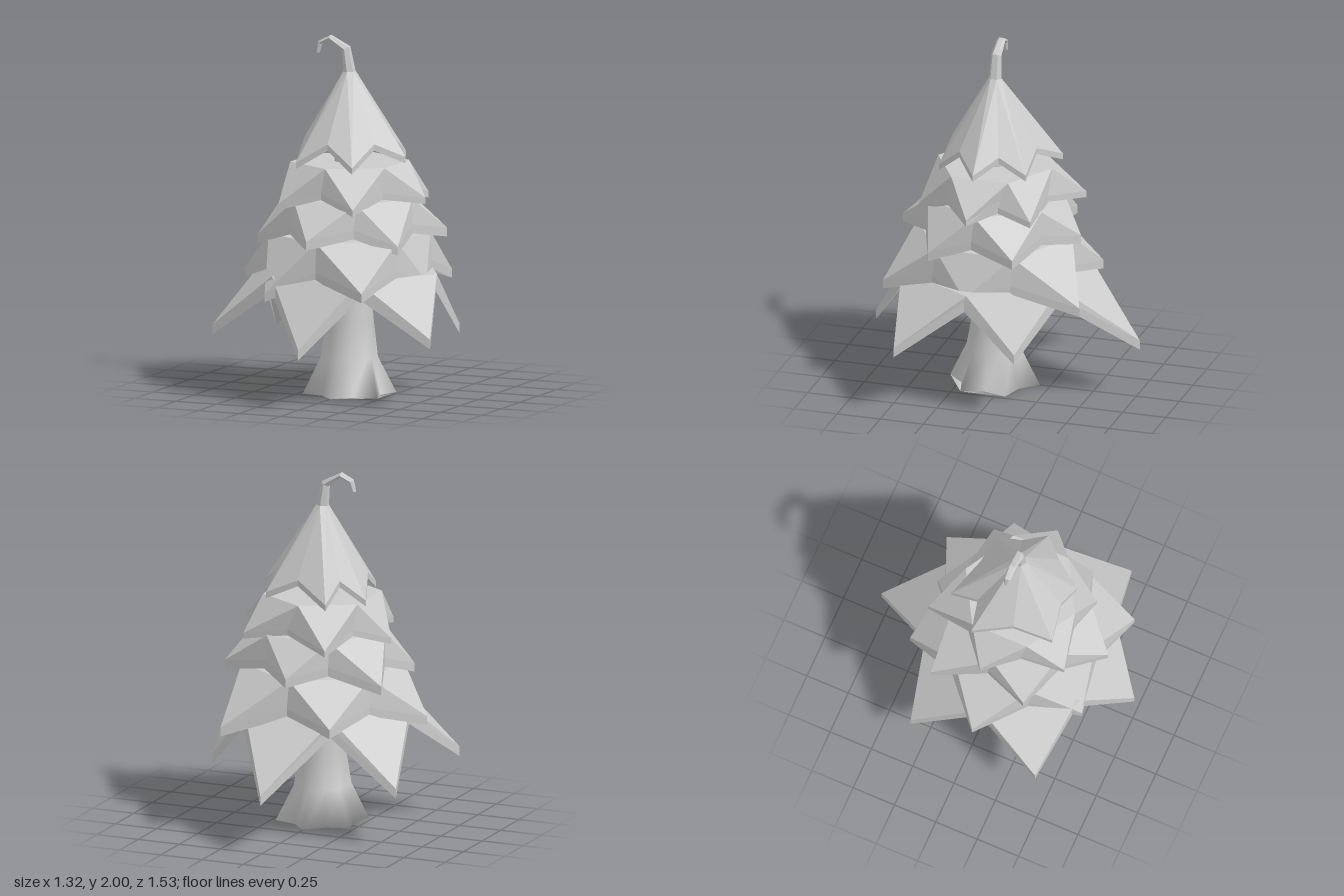
import * as THREE from 'three';

const CZ = 0.07; // z of the tree axis

const material = (flat) => new THREE.MeshStandardMaterial({ color: 0xcccccc, flatShading: flat, side: THREE.DoubleSide });

function toMesh(name, positions, index, flat) {
  let g = new THREE.BufferGeometry();
  g.setAttribute('position', new THREE.Float32BufferAttribute(positions, 3));
  if (index) g.setIndex(index);
  g.computeVertexNormals();
  const mesh = new THREE.Mesh(g, material(flat));
  mesh.name = name;
  return mesh;
}

// Pointed skirt: hexagonal top ring, six drooping tips [x, y, z], notches between them, a thin shell
function skirt({ name, top, radius, start, notchY, notchR, thick = 0.05, tips }) {
  const pos = [];
  const tri = (a, b, c) => pos.push(...a.toArray(), ...b.toArray(), ...c.toArray());
  const n = tips.length;
  const ring = [], notch = [];
  const tip = tips.map(([x, y, z]) => new THREE.Vector3(x, y + thick, z));
  const dir = (p) => new THREE.Vector2(p.x, p.z - CZ).normalize();
  for (let i = 0; i < n; i++) {
    const a = THREE.MathUtils.degToRad(start + (i * 360) / n);
    ring.push(new THREE.Vector3(radius * Math.cos(a), top, CZ + radius * Math.sin(a)));
    const d = dir(tip[(i + n - 1) % n]).add(dir(tip[i])).normalize();
    notch.push(new THREE.Vector3(d.x * notchR, notchY, CZ + d.y * notchR));
  }
  const under = (p) => new THREE.Vector3(p.x * 0.97, p.y - thick, CZ + (p.z - CZ) * 0.97);
  const drop = (p) => new THREE.Vector3(p.x, p.y - thick, p.z);
  const centre = new THREE.Vector3(0, top, CZ);
  for (let i = 0; i < n; i++) {
    const j = (i + 1) % n;
    const faces = [
      [centre, ring[j], ring[i]],
      [ring[i], ring[j], tip[i]],
      [ring[i], tip[i], notch[i]],
      [ring[j], notch[j], tip[i]],
    ];
    for (const [a, b, c] of faces) {
      tri(a, b, c);
      const low = (p) => (ring.includes(p) || p === centre ? under(p) : drop(p));
      tri(low(a), low(c), low(b));
    }
    // vertical rim along the jagged edge
    for (const [a, b] of [[notch[i], tip[i]], [tip[i], notch[j]]]) {
      tri(a, b, drop(b));
      tri(a, drop(b), drop(a));
    }
  }
  return toMesh(name, pos, null, true);
}

// Loft through rings of points, closed at the last ring
function loft(name, rings, flat) {
  const n = rings[0].length, idx = [];
  for (let r = 0; r < rings.length - 1; r++) {
    for (let i = 0; i < n; i++) {
      const a = r * n + i, b = r * n + ((i + 1) % n);
      idx.push(a, a + n, b, b, a + n, b + n);
    }
  }
  const last = (rings.length - 1) * n;
  for (let i = 1; i < n - 1; i++) idx.push(last, last + i + 1, last + i, 0, i, i + 1);
  return toMesh(name, rings.flat(2), idx, flat);
}

export function createModel() {
  const tree = new THREE.Group();
  tree.name = 'stylizedPineTree';

  // Trunk with a root flare: [y, radius, lobe depth, centre z]
  const trunkRings = [
    [0, 0.225, 0.035, 0.07], [0.2, 0.148, 0.012, 0.075], [0.4, 0.128, 0.005, 0.065],
    [0.64, 0.112, 0, 0.06], [1.1, 0.09, 0, 0.07], [1.42, 0.08, 0, 0.07],
  ].map(([y, r, lobe, cz]) => Array.from({ length: 12 }, (_, i) => {
    const a = (i / 12) * Math.PI * 2 + Math.PI / 6;
    const rr = r + (i % 2 ? -lobe : lobe);
    return [rr * Math.cos(a), y, cz + rr * Math.sin(a)];
  }));
  tree.add(loft('trunk', trunkRings, false));

  // Foliage skirts, bottom to top
  const skirts = [
    { name: 'bottomFoliage', top: 0.7, radius: 0.53, start: 0, notchY: 0.66, notchR: 0.53, thick: 0.055,
      tips: [[0.66, 0.34, 0.45], [0, 0.28, 0.76], [-0.66, 0.34, 0.45], [-0.62, 0.28, -0.32], [0, 0.28, -0.77], [0.54, 0.33, -0.21]] },
    { name: 'lowerFoliage', top: 0.9, radius: 0.45, start: 30, notchY: 0.74, notchR: 0.46,
      tips: [[0.32, 0.6, 0.62], [-0.29, 0.56, 0.57], [-0.64, 0.61, 0.06], [-0.285, 0.62, -0.47], [0.35, 0.58, -0.53], [0.48, 0.61, 0.1]] },
    { name: 'middleFoliage', top: 1.11, radius: 0.38, start: 0, notchY: 0.97, notchR: 0.39,
      tips: [[0.41, 0.83, 0.33], [-0.02, 0.87, 0.61], [-0.46, 0.84, 0.29], [-0.5, 0.84, -0.25], [0, 0.87, -0.43], [0.48, 0.87, -0.18]] },
    { name: 'upperFoliage', top: 1.3, radius: 0.33, start: 30, notchY: 1.16, notchR: 0.335, thick: 0.035,
      tips: [[0.19, 1.05, 0.45], [-0.26, 1.06, 0.45], [-0.44, 1.06, 0.02], [-0.22, 1.06, -0.39], [0.34, 1.07, -0.24], [0.47, 1.09, 0.09]] },
    { name: 'topCap', top: 1.8, radius: 0.036, start: 30, notchY: 1.425, notchR: 0.255, thick: 0.035,
      tips: [[0.14, 1.27, 0.35], [-0.2, 1.28, 0.35], [-0.33, 1.29, -0.08], [-0.17, 1.29, -0.27], [0.23, 1.3, -0.18], [0.35, 1.31, 0.09]] },
  ];
  for (const s of skirts) tree.add(skirt(s));

  // Curled tip: [x, y, half thickness, half depth, lean of the section in radians]
  const hookRings = [
    [0, 1.79, 0.036, 0.036, 0], [-0.02, 1.925, 0.026, 0.03, 0.6], [-0.115, 1.983, 0.015, 0.024, 1.57],
    [-0.178, 1.952, 0.014, 0.02, 2.4], [-0.193, 1.895, 0.01, 0.014, 2.9],
  ].map(([x, y, r, d, lean]) => Array.from({ length: 6 }, (_, i) => {
    const a = (i / 6) * Math.PI * 2 + Math.PI / 6;
    const u = r * Math.cos(a);
    return [x + u * Math.cos(lean), y + u * Math.sin(lean), CZ + d * Math.sin(a)];
  }));
  tree.add(loft('curledTip', hookRings, true));

  return tree;
}
